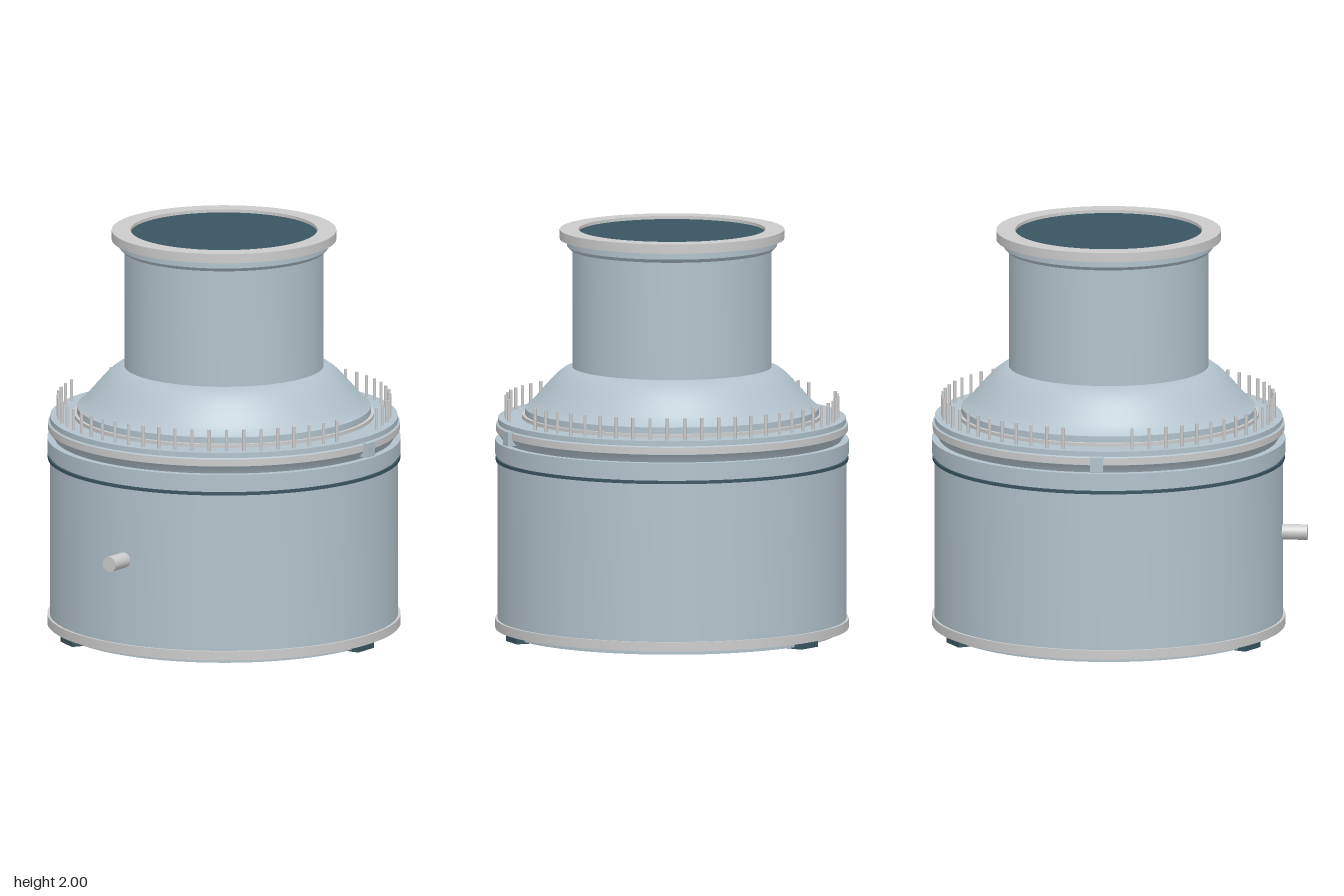
import * as THREE from 'three';
import { toCreasedNormals } from 'three/addons/utils/BufferGeometryUtils.js';

const AXIS_Z = -0.05;
const steel = new THREE.MeshStandardMaterial({ color: 0xb2c2cb });
const grey = new THREE.MeshStandardMaterial({ color: 0xcccccc });
const dark = new THREE.MeshStandardMaterial({ color: 0x3a5661 });

export function createModel() {
  const model = new THREE.Group();
  const vessel = new THREE.Group();
  vessel.name = 'vessel';
  vessel.position.z = AXIS_Z;
  model.add(vessel);

  const add = (name, geometry, material, x = 0, y = 0, z = 0) => {
    const mesh = new THREE.Mesh(geometry, material);
    mesh.name = name;
    mesh.position.set(x, y, z);
    vessel.add(mesh);
    return mesh;
  };
  // Revolved part; profile is [radius, height] from bottom to top
  const turn = (name, profile, material, segments = 96) => {
    const points = profile.map(([r, y]) => new THREE.Vector2(r, y));
    return add(name, toCreasedNormals(new THREE.LatheGeometry(points, segments), 0.4), material);
  };
  // Flat-ended ring or disc
  const band = (name, inner, outer, y0, y1, material) => turn(name,
    [[inner, y0], [outer, y0], [outer, y1], [inner, y1], [inner, y0]], material);

  // Base: plate, drilled boss and rim
  band('basePlate', 0, 0.79, 0.063, 0.09, steel);
  band('baseBoss', 0.05, 0.125, 0, 0.066, steel);
  band('bossPlug', 0, 0.05, 0.02, 0.06, dark);
  band('baseRim', 0.78, 0.842, 0.085, 0.13, grey);

  // Main drum with seal and upper flange
  turn('drum', [[0, 0.09], [0.83, 0.09], [0.83, 0.925], [0, 0.925]], steel);
  band('drumSeal', 0.82, 0.84, 0.89, 0.905, dark);
  band('drumFlange', 0.7, 0.842, 0.92, 0.99, steel);

  // Clamping ring with a waisted underside
  turn('clampRing', [
    [0.6, 0.985], [0.805, 0.985], [0.812, 1.0], [0.835, 1.03], [0.835, 1.065],
    [0.828, 1.07], [0.828, 1.095], [0.6, 1.095],
  ], steel);
  band('clampBand', 0.8, 0.838, 1.032, 1.065, grey);

  // Domed shoulder rising into the neck
  band('shoulderLip', 0.6, 0.715, 1.09, 1.112, grey);
  turn('shoulder', [
    [0.7, 1.1], [0.7, 1.142], [0.685, 1.152], [0.65, 1.19], [0.61, 1.236],
    [0.575, 1.275], [0.545, 1.305], [0.515, 1.327], [0.495, 1.336], [0.472, 1.34],
  ], steel);
  turn('neck', [[0.475, 1.335], [0.475, 1.93]], steel);
  turn('neckCollar', [
    [0.47, 1.905], [0.485, 1.905], [0.5, 1.922], [0.5, 1.955], [0.47, 1.955],
  ], steel);
  band('neckFlange', 0.445, 0.535, 1.955, 2, grey);
  band('neckCover', 0, 0.446, 1.96, 1.985, dark);

  // Studs every six degrees, skipped beside each side lug
  const studGeometry = new THREE.CylinderGeometry(0.008, 0.008, 0.11, 10);
  for (let i = 0; i < 60; i++) {
    const fromLug = Math.min(i % 30, 30 - (i % 30));
    if (fromLug < 2) continue;
    const a = i * Math.PI / 30;
    add('stud', studGeometry, grey, 0.79 * Math.cos(a), 1.145, 0.79 * Math.sin(a));
  }

  // Side lugs
  for (const side of [1, -1]) {
    add(side > 0 ? 'leftLug' : 'rightLug', new THREE.BoxGeometry(0.06, 0.068, 0.062),
      steel, side * 0.828, 1.037, 0);
  }

  // Three feet at equal angles
  for (let i = 0; i < 3; i++) {
    const a = i * Math.PI * 2 / 3;
    const foot = add('foot', new THREE.BoxGeometry(0.09, 0.032, 0.13), dark,
      0.782 * Math.cos(a), 0.07, 0.782 * Math.sin(a));
    foot.rotation.y = -a;
  }

  // Front drain pipe
  const pipe = add('frontPipe', new THREE.CylinderGeometry(0.037, 0.037, 0.2, 32),
    grey, 0, 0.54, 0.8 - AXIS_Z);
  pipe.rotation.x = Math.PI / 2;

  return model;
}
